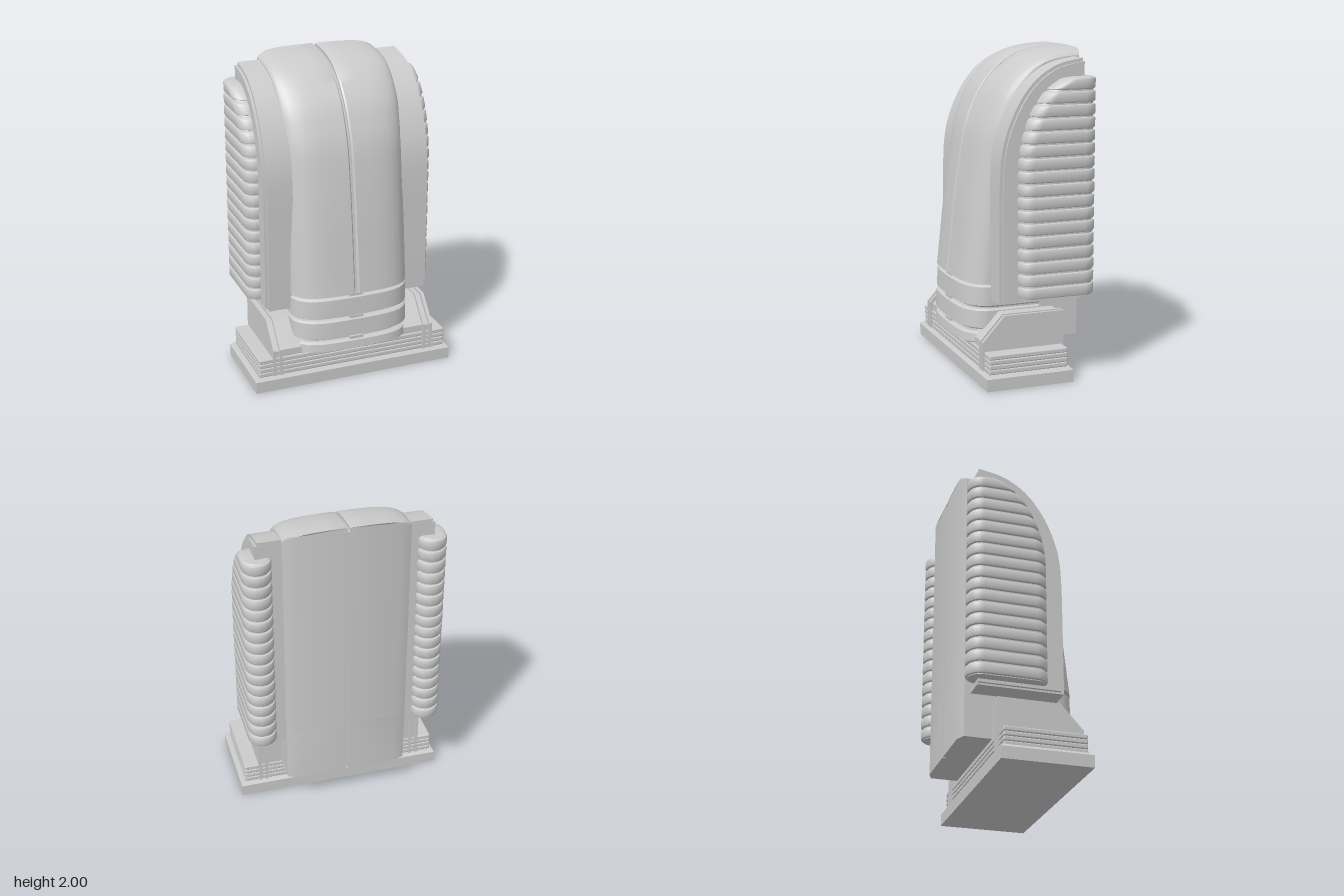
import * as THREE from 'three';
import { toCreasedNormals } from 'three/addons/utils/BufferGeometryUtils.js';
import { RoundedBoxGeometry } from 'three/addons/geometries/RoundedBoxGeometry.js';

const material = new THREE.MeshStandardMaterial({ color: 0xcccccc });
const V = (x, y, z) => new THREE.Vector3(x, y, z);

export function createModel() {
  const model = new THREE.Group();

  const add = (name, geometry) => {
    const mesh = new THREE.Mesh(geometry, material);
    mesh.name = name;
    model.add(mesh);
    return mesh;
  };

  // Skin between rings, counter-clockwise from above and listed upward; side = -1 mirrors in x
  const loft = (rings, side = 1, crease = 0.5) => {
    const out = [];
    const tri = (a, b, c) => {
      for (const p of side > 0 ? [a, b, c] : [a, c, b]) out.push(p.x * side, p.y, p.z);
    };
    const n = rings[0].length;
    const middle = (ring) => ring.reduce((s, p) => s.add(p), V(0, 0, 0)).divideScalar(n);
    const low = rings[0], high = rings[rings.length - 1];
    const lowMid = middle(low), highMid = middle(high);
    for (let j = 0; j < n; j++) {
      const k = (j + 1) % n;
      for (let i = 0; i + 1 < rings.length; i++) {
        const a = rings[i], b = rings[i + 1];
        tri(a[j], a[k], b[k]);
        tri(a[j], b[k], b[j]);
      }
      tri(lowMid, low[k], low[j]);
      tri(highMid, high[j], high[k]);
    }
    const g = new THREE.BufferGeometry();
    g.setAttribute('position', new THREE.Float32BufferAttribute(out, 3));
    g.computeVertexNormals();
    return toCreasedNormals(g, crease);
  };

  // Side profile of [z, y] points given thickness from x0 to x1
  const slab = (points, x0, x1) => {
    const shape = new THREE.Shape(points.map(([z, y]) => new THREE.Vector2(z, y)));
    const g = new THREE.ExtrudeGeometry(shape, { depth: x1 - x0, bevelEnabled: false });
    g.rotateY(-Math.PI / 2).translate(x1, 0, 0);
    return toCreasedNormals(g, 0.5);
  };

  const spline = (points) => new THREE.SplineCurve(points.map(([z, y]) => new THREE.Vector2(z, y)));

  // Points along a [z, y] curve moved inward by d
  const inset = (curve, d, count = 32) => Array.from({ length: count + 1 }, (_, i) => {
    const p = curve.getPoint(i / count), t = curve.getTangent(i / count);
    return [p.x - t.y * d, p.y + t.x * d];
  });

  // Base with a bevelled top edge
  const rect = (y, d) => [V(-0.66 + d, y, 0.345 - d), V(0.66 - d, y, 0.345 - d),
    V(0.66 - d, y, -0.21 + d), V(-0.66 + d, y, -0.21 + d)];
  add('base', loft([rect(0, 0), rect(0.075, 0), rect(0.092, 0.015)]));
  for (let i = 0; i < 4; i++) {
    add('basePlate', new RoundedBoxGeometry(1.26, 0.03, 0.505, 2, 0.008).translate(0, 0.105 + i * 0.03, 0.0675));
  }

  // Chamfered mounting block and its edge plates
  const bracket = (back, front, top) => [[back, 0.09], [front, 0.09], [front, top - 0.155], [front - 0.14, top], [back, top]];
  add('mountingBlock', slab(bracket(-0.18, 0.31, 0.41), -0.48, 0.48));
  for (const side of [-1, 1]) {
    for (const x of [0.488, 0.53]) {
      add('bracketPlate', slab(bracket(-0.195, 0.33, 0.42), side * x - 0.01, side * x + 0.01));
    }
    add('bracketWeb', slab(bracket(-0.18, 0.312, 0.405), side * 0.509 - 0.013, side * 0.509 + 0.013));
  }

  // Curved central shell in two halves, [x, depth] section swept along the profile
  const shellCurve = spline([[0.37, 0.587], [0.345, 0.82], [0.32, 1.05], [0.285, 1.3], [0.25, 1.49],
    [0.2, 1.63], [0.13, 1.76], [0.02, 1.88], [-0.1, 1.955], [-0.24, 1.99], [-0.375, 2]]);
  const section = [[0.008, 0.012], [0.018, 0], [0.12, 0.002], [0.2, 0.008], [0.26, 0.02], [0.305, 0.038],
    [0.34, 0.063], [0.365, 0.092], [0.379, 0.12], [0.385, 0.15]];
  const backEdge = [[0.385, -0.35], [0.32, -0.375], [0.008, -0.375]];
  const shellRings = [];
  for (let i = 0; i <= 48; i++) {
    const t = i / 48, p = shellCurve.getPoint(t), tan = shellCurve.getTangent(t);
    if (i === 0) tan.set(0, 1);
    const s = 1 - 0.67 * THREE.MathUtils.smoothstep(t, 0.2, 0.85);
    const ring = section.map(([x, d]) => V(x, p.y + tan.x * d * s, Math.max(p.x - tan.y * d * s, x > 0.33 ? -0.35 : -0.375)));
    const edgeY = ring[ring.length - 1].y;
    backEdge.forEach(([x, z], k) => ring.push(V(x, [edgeY, p.y + tan.x * 0.045 * s, ring[0].y][k], z)));
    shellRings.push(ring);
  }
  const columnRing = (y) => [[0.008, -0.1], [0.385, -0.1], ...backEdge].map(([x, z]) => V(x, y, z));
  for (const side of [-1, 1]) {
    add('shellHalf', loft(shellRings, side));
    add('rearColumn', loft([columnRing(0.215), columnRing(0.59)], side));
  }
  add('shellCore', slab([[-0.355, 0.215], [-0.12, 0.215], [-0.12, 0.59], ...inset(shellCurve, 0.025), [-0.355, 1.97]], -0.03, 0.03));

  // Stacked bands and necks below the shell
  const bandRing = (y, front, d) => {
    const half = section.slice(1).map(([x, in_]) => [x - d * x / 0.385, front - in_ - d]);
    half.push([0.385 - d, -0.1]);
    return [...half.slice().reverse().map(([x, z]) => V(-x, y, z)), ...half.map(([x, z]) => V(x, y, z))];
  };
  for (const [y0, y1, front] of [[0.21, 0.28, 0.382], [0.3, 0.425, 0.38], [0.437, 0.572, 0.372]]) {
    add('band', loft([bandRing(y0, front - 0.01, 0.008), bandRing(y0 + 0.01, front, 0),
      bandRing(y1 - 0.01, front - 0.005, 0), bandRing(y1, front - 0.012, 0.008)]));
    add('bandTab', new THREE.BoxGeometry(0.09, 0.03, 0.05).translate(0, y1, front - 0.04));
  }
  add('neck', loft([bandRing(0.22, 0.36, 0.018), bandRing(0.59, 0.35, 0.018)]));

  // Arched side fins with a raised outer plate
  const finCurve = spline([[0.217, 0.485], [0.217, 0.85], [0.215, 1.2], [0.2, 1.4], [0.155, 1.56],
    [0.08, 1.71], [-0.02, 1.83], [-0.15, 1.91], [-0.312, 1.945]]);
  const finProfile = [[-0.312, 0.485], ...inset(finCurve, 0)];
  const plateProfile = [[-0.312, 0.497], [0.197, 0.497], ...inset(finCurve, 0.02).slice(1)];
  for (const side of [-1, 1]) {
    const mid = (a, b) => side > 0 ? [a, b] : [-b, -a];
    add('sideFin', slab(finProfile, ...mid(0.36, 0.525)));
    add('finPlate', slab(plateProfile, ...mid(0.5, 0.541)));
  }

  // Ribbed side pods: rounded plan, arched front, one bulge per rib
  const podBottom = 0.517, podTop = 1.84, ribs = 17;
  const podFront = (y) => {
    const t = Math.max(0, (y - 1.28) / (podTop - 1.28));
    return -0.22 + 0.328 * Math.pow(Math.max(0, 1 - t * t), 0.55);
  };
  const podRing = (y, d) => {
    const ring = [V(0.44, y, podFront(y) - d)];
    const arc = (cx, cz, r, from, to, steps) => {
      for (let i = 0; i <= steps; i++) {
        const a = from + (to - from) * i / steps;
        ring.push(V(cx + Math.cos(a) * r, y, cz + Math.sin(a) * r));
      }
    };
    arc(0.54, podFront(y) - 0.08, 0.08 - d, Math.PI / 2, 0, 6);
    arc(0.53, -0.295, 0.09 - d, 0, -Math.PI, 14);
    return ring;
  };
  const podRings = [];
  const pitch = (podTop - podBottom) / ribs;
  for (let i = 0; i < ribs; i++) {
    const y = podBottom + i * pitch;
    for (const [f, d] of [[0, 0.014], [0.06, 0.014], [0.1, 0.004], [0.2, 0], [0.8, 0], [0.9, 0.004], [0.94, 0.014]]) {
      podRings.push(podRing(y + f * pitch, d));
    }
  }
  podRings.push(podRing(podTop, 0.02));
  for (const side of [-1, 1]) add('ribbedPod', loft(podRings, side, 0.6));

  return model;
}
